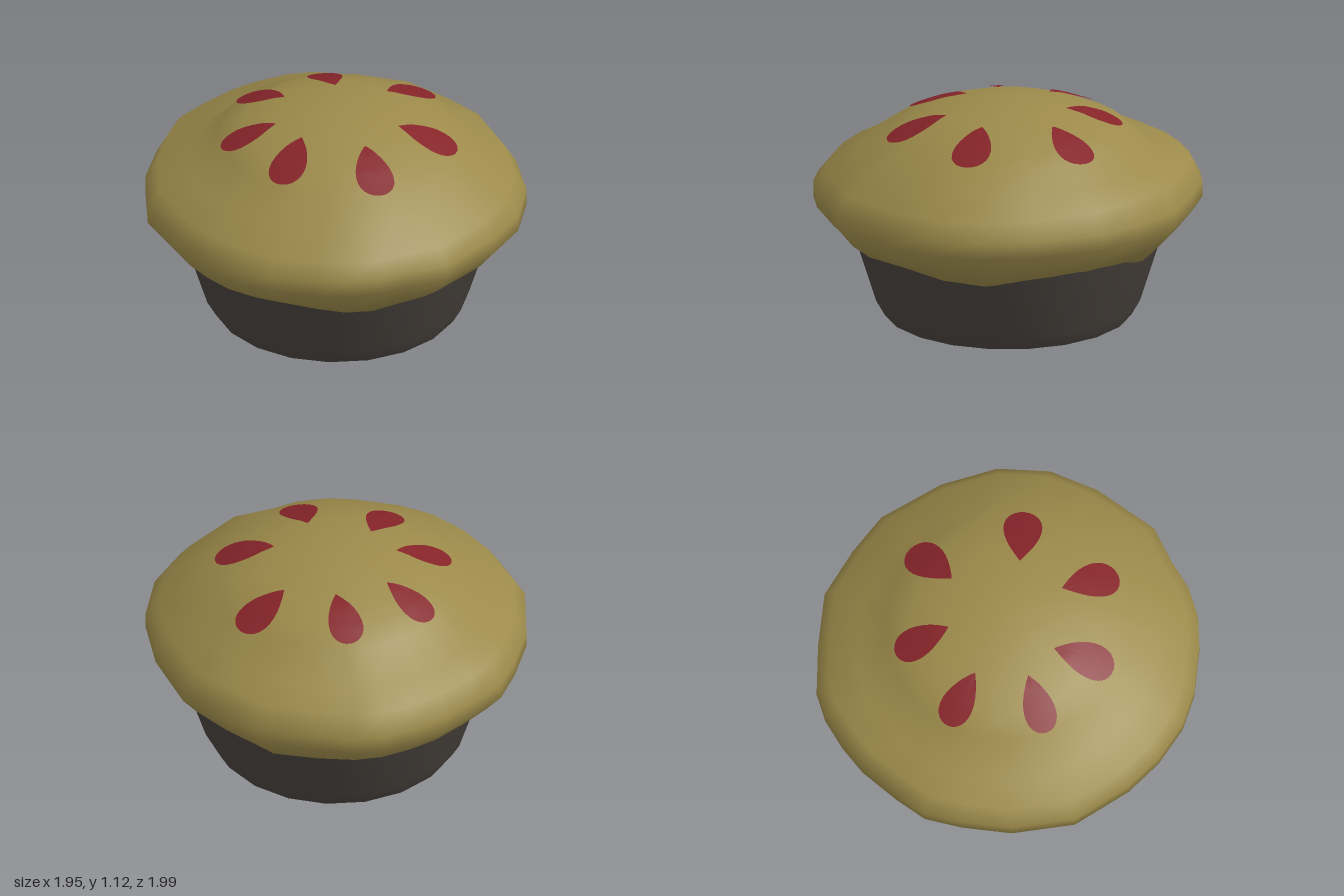
import * as THREE from 'three';

// Uneven rim outline (x, z), counterclockwise seen from above
const OUTLINE = [
  [0, 0.99], [0.15, 0.96], [0.36, 0.94], [0.66, 0.74], [0.84, 0.55], [0.95, 0.3], [0.97, 0],
  [0.91, -0.35], [0.79, -0.55], [0.62, -0.77], [0.37, -0.9], [0.15, -0.99], [0, -1], [-0.17, -0.97],
  [-0.33, -0.92], [-0.53, -0.81], [-0.68, -0.71], [-0.79, -0.55], [-0.91, -0.32], [-0.98, 0],
  [-0.91, 0.32], [-0.82, 0.52], [-0.69, 0.7], [-0.54, 0.82], [-0.32, 0.93], [-0.17, 0.98],
];
// Dome profile (radius, height) around a slightly shifted centre
const DOME = [[0.62, 0.975], [0.5, 1.03], [0.38, 1.075], [0.2, 1.108], [0.08, 1.116], [0, 1.117]];
const DOME_X = 0.025;

function domeHeight(x, z) {
  const r = Math.hypot(x - DOME_X, z);
  for (let i = 1; i < DOME.length; i++) {
    const [r0, y0] = DOME[i - 1], [r1, y1] = DOME[i];
    if (r >= r1) return y1 + (y0 - y1) * (r - r1) / (r0 - r1);
  }
  return DOME[DOME.length - 1][1];
}

function meshFrom(name, positions, index, material) {
  const g = new THREE.BufferGeometry();
  g.setAttribute('position', new THREE.Float32BufferAttribute(positions, 3));
  g.setIndex(index);
  g.computeVertexNormals();
  const mesh = new THREE.Mesh(g, material);
  mesh.name = name;
  return mesh;
}

// Skin closed rings, listed from the bottom up
function loft(name, rings, material) {
  const n = rings[0].length, index = [];
  for (let k = 0; k < rings.length - 1; k++) {
    for (let i = 0; i < n; i++) {
      const j = (i + 1) % n, a = k * n + i, b = k * n + j;
      index.push(a, b, b + n, a, b + n, a + n);
    }
  }
  return meshFrom(name, rings.flat(2), index, material);
}

// Teardrop opening laid over the dome, from its tip to its rounded end
function teardrop([tx, tz, ex, ez, halfWidth], material) {
  const n = 28, steps = 4, dx = ex - tx, dz = ez - tz, len = Math.hypot(dx, dz);
  const positions = [], index = [];
  const add = (u, v) => {
    const x = tx + dx * u - dz / len * v, z = tz + dz * u + dx / len * v;
    positions.push(x, domeHeight(x, z) + 0.008, z);
  };
  add(0.62, 0);
  for (let s = 1; s <= steps; s++) {
    for (let i = 0; i < n; i++) {
      const t = i / n * Math.PI * 2, f = s / steps;
      const u = (1 - Math.cos(t)) / 2;
      const v = halfWidth / 0.77 * Math.sin(t) * Math.sin(t / 2);
      add(0.62 + (u - 0.62) * f, v * f);
      const j = (i + 1) % n, o = 1 + (s - 1) * n;
      if (s === 1) index.push(0, 1 + i, 1 + j);
      else index.push(o - n + i, o + i, o + j, o - n + i, o + j, o - n + j);
    }
  }
  return meshFrom('fillingSlit', positions, index, material);
}

export function createModel() {
  const mat = (name, color) => new THREE.MeshStandardMaterial({ name, color });
  const crustMat = mat('goldenCrust', 0x9c8a4a);
  const fillingMat = mat('redFilling', 0x852429);
  const panMat = mat('darkPan', 0x46403b);
  const pie = new THREE.Group();
  pie.name = 'pie';

  // Crust: tucked underside, bulging lip, shoulder, then dome
  const angles = OUTLINE.map(([x, z]) => Math.atan2(x, z));
  const scaled = (f, height) => OUTLINE.map(([x, z], i) => [x * f, height(angles[i]), z * f]);
  const rings = [
    scaled(0.72, () => 0.46),
    scaled(0.81, a => 0.39 + 0.018 * (1 - Math.cos(5 * a))),
    scaled(0.91, () => 0.49),
    scaled(1, () => 0.6),
    scaled(1, () => 0.685),
    scaled(0.94, a => 0.78 - 0.02 * Math.cos(a)),
    scaled(0.78, a => 0.855 + 0.025 * (Math.sin(a) + Math.cos(a))),
    ...DOME.map(([r, y]) => angles.map(a => [DOME_X + r * Math.sin(a), y, r * Math.cos(a)])),
  ];
  pie.add(loft('crust', rings, crustMat));

  // Filling slits around the dome: tip x, z, end x, z, half width
  const slits = new THREE.Group();
  slits.name = 'fillingSlits';
  [
    [0.09, -0.29, 0.08, -0.585, 0.088],
    [-0.19, -0.25, -0.37, -0.475, 0.085],
    [-0.3, 0, -0.59, -0.01, 0.083],
    [-0.21, 0.175, -0.39, 0.435, 0.095],
    [0.085, 0.33, 0.085, 0.64, 0.098],
    [0.3, 0.18, 0.58, 0.31, 0.1],
    [0.335, -0.18, 0.6, -0.31, 0.1],
  ].forEach(s => slits.add(teardrop(s, fillingMat)));
  pie.add(slits);

  // Pan: flared wall with a flat base
  const pan = new THREE.Group();
  pan.name = 'pan';
  pan.position.x = 0.02;
  const profile = [[0.64, 0], [0.685, 0.08], [0.785, 0.4], [0.8, 0.46]];
  const wall = new THREE.Mesh(
    new THREE.LatheGeometry(profile.map(p => new THREE.Vector2(...p)), 20), panMat);
  wall.name = 'panWall';
  const base = new THREE.Mesh(new THREE.CircleGeometry(0.64, 20), panMat);
  base.name = 'panBase';
  base.rotation.x = Math.PI / 2;
  pan.add(wall, base);
  pie.add(pan);
  return pie;
}
